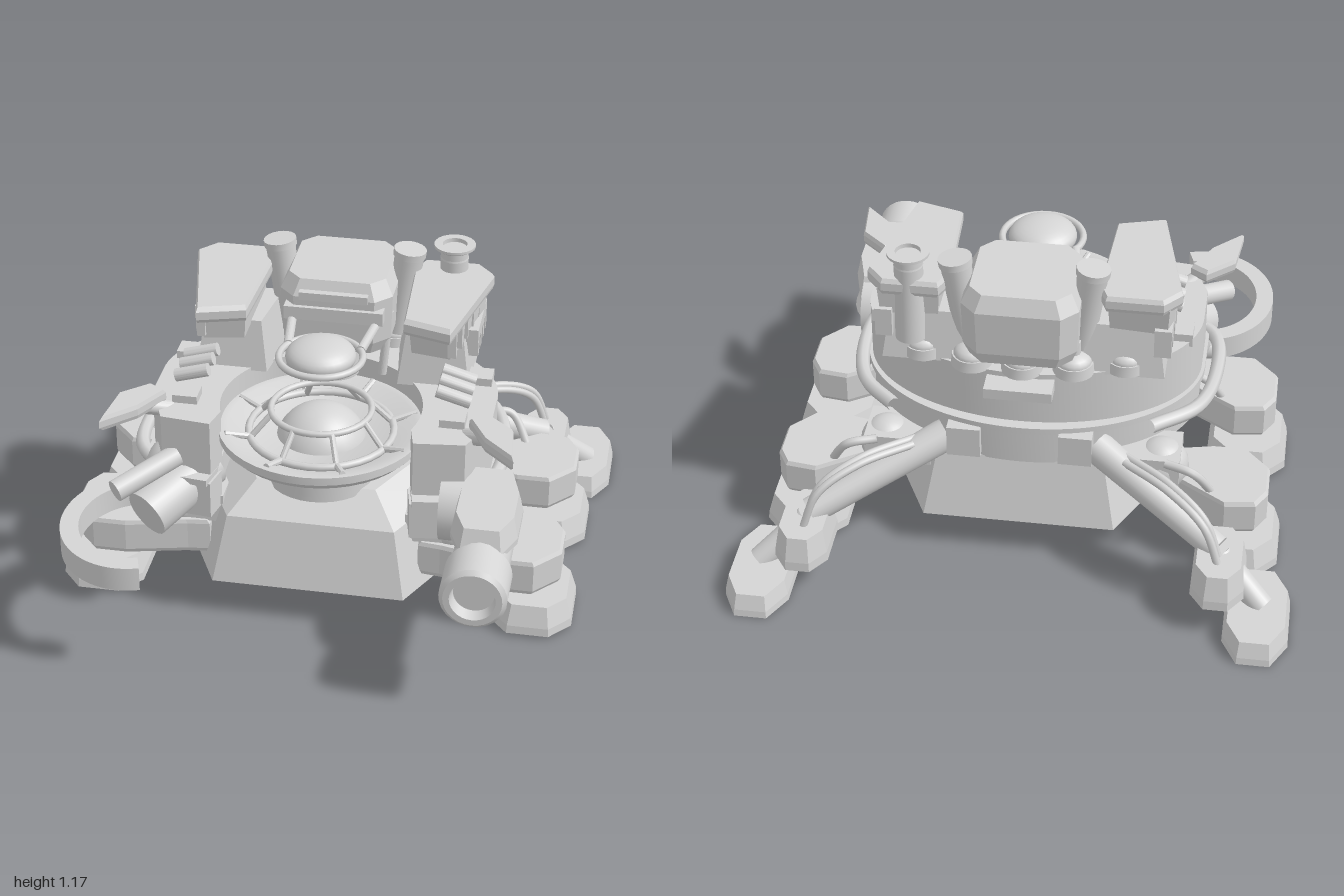
import * as THREE from 'three';
import { toCreasedNormals } from 'three/addons/utils/BufferGeometryUtils.js';

export function createModel() {
  const model = new THREE.Group();
  const grey = new THREE.MeshStandardMaterial({ color: 0xd4d4d4 });
  grey.name = 'plain grey';
  const V = (p) => new THREE.Vector3(...p);

  const add = (name, geo, x = 0, y = 0, z = 0) => {
    const mesh = new THREE.Mesh(geo, grey);
    mesh.name = name;
    mesh.position.set(x, y, z);
    model.add(mesh);
    return mesh;
  };
  const cyl = (r1, r2, h, n = 24) => toCreasedNormals(new THREE.CylinderGeometry(r1, r2, h, n), 0.6);
  const lathe = (pts, n) => toCreasedNormals(new THREE.LatheGeometry(pts.map((p) => new THREE.Vector2(...p)), n), 0.6);
  const box = (name, w, h, d, x, y, z) => add(name, new THREE.BoxGeometry(w, h, d), x, y, z);
  // Upright extrusion of a shape drawn in (x, -z)
  const upright = (shape, depth) => toCreasedNormals(
    new THREE.ExtrudeGeometry(shape, { depth, bevelEnabled: false, curveSegments: 32 }).rotateX(-Math.PI / 2), 0.5);

  // Round bar from a to b
  const rod = (name, a, b, r1, r2 = r1, n = 20) => {
    const A = V(a), B = V(b), dir = B.clone().sub(A);
    const mesh = add(name, cyl(r2, r1, dir.length(), n), ...A.add(B).multiplyScalar(0.5).toArray());
    mesh.quaternion.setFromUnitVectors(new THREE.Vector3(0, 1, 0), dir.normalize());
    return mesh;
  };
  const hose = (name, pts, r) => add(name,
    new THREE.TubeGeometry(new THREE.CatmullRomCurve3(pts.map(V)), 28, r, 8));

  // Faceted solid: an [x, z] outline repeated at levels [y, scale]
  const loft = (name, outline, levels) => {
    let area = 0;
    const n = outline.length;
    outline.forEach(([x, z], i) => {
      const [u, v] = outline[(i + 1) % n];
      area += x * v - u * z;
    });
    const pts = area > 0 ? outline : [...outline].reverse();
    const cx = pts.reduce((s, p) => s + p[0], 0) / n, cz = pts.reduce((s, p) => s + p[1], 0) / n;
    const at = (i, [y, s]) => [cx + (pts[i % n][0] - cx) * s, y, cz + (pts[i % n][1] - cz) * s];
    const pos = [], low = levels[0], top = levels[levels.length - 1];
    for (let i = 0; i < n; i++) {
      for (let k = 0; k + 1 < levels.length; k++) {
        const a = at(i, levels[k]), b = at(i + 1, levels[k]);
        const c = at(i + 1, levels[k + 1]), d = at(i, levels[k + 1]);
        pos.push(...a, ...d, ...c, ...a, ...c, ...b);
      }
      pos.push(cx, low[0], cz, ...at(i, low), ...at(i + 1, low));
      pos.push(cx, top[0], cz, ...at(i + 1, top), ...at(i, top));
    }
    const geo = new THREE.BufferGeometry();
    geo.setAttribute('position', new THREE.Float32BufferAttribute(pos, 3));
    geo.computeVertexNormals();
    return add(name, geo);
  };
  const octagon = (cx, cz, hx, hz, kx = 0.5, kz = 0.5) =>
    [[1, kz], [kx, 1], [-kx, 1], [-1, kz], [-1, -kz], [-kx, -1], [kx, -1], [1, -kz]]
      .map(([x, z]) => [cx + x * hx, cz + z * hz]);

  // Hull with a sloping deck
  loft('hull', octagon(0, 0.02, 0.51, 0.47, 0.68, 0.3), [[0.14, 1], [0.385, 0.87], [0.48, 0.62]]);

  // Horseshoe drum in three tiers, open at the front around the dish
  const shoe = new THREE.Shape();
  shoe.moveTo(0.36, -0.41);
  shoe.lineTo(0.54, -0.39);
  shoe.lineTo(0.61, -0.22);
  shoe.absellipse(0, -0.05, 0.61, 0.42, 0, Math.PI, false, 0);
  shoe.lineTo(-0.61, -0.22);
  shoe.lineTo(-0.54, -0.39);
  shoe.lineTo(-0.36, -0.41);
  shoe.absarc(0, -0.2, 0.36, Math.PI + 0.34, -0.34, true);
  for (const [name, y, h, kx, kz] of [['lowerDrum', 0.38, 0.14, 0.99, 1.08],
    ['drumRim', 0.515, 0.025, 1.02, 1.11], ['upperDrum', 0.53, 0.22, 1, 1]])
    add(name, upright(shoe, h).scale(kx, 1, kz), 0, y, 0);

  // Front dish with dome and low cage
  add('dishStem', cyl(0.2, 0.2, 0.16, 32), 0, 0.54, 0.2);
  const dish = [[0, 0.6], [0.22, 0.6], [0.34, 0.61], [0.37, 0.64], [0.37, 0.67], [0.335, 0.67], [0.27, 0.63], [0, 0.63]];
  add('dish', lathe(dish, 40), 0, 0, 0.2);
  add('dome', new THREE.SphereGeometry(0.17, 32, 12, 0, Math.PI * 2, 0, Math.PI / 2), 0, 0.57, 0.2);
  const ring = (name, r, t, y, z) => add(name, new THREE.TorusGeometry(r, t, 8, 36).rotateX(Math.PI / 2), 0, y, z);
  ring('cageRing', 0.18, 0.012, 0.73, 0.2);
  ring('cageFoot', 0.26, 0.014, 0.645, 0.2);
  for (let i = 0; i < 8; i++) {
    const a = (i + 0.5) * Math.PI / 4, c = Math.cos(a), s = Math.sin(a);
    rod('cageBar', [c * 0.26, 0.64, 0.2 + s * 0.26], [c * 0.18, 0.73, 0.2 + s * 0.18], 0.011, 0.011, 8);
    rod('dishSpoke', [c * 0.25, 0.645, 0.2 + s * 0.25], [c * 0.35, 0.67, 0.2 + s * 0.35], 0.012, 0.012, 8);
  }
  add('neck', cyl(0.085, 0.085, 0.12), 0, 0.78, -0.1);

  // Raised saucer with its bracket
  const saucer = add('saucer', new THREE.SphereGeometry(0.125, 32, 16), 0, 0.95, 0.21);
  saucer.scale.y = 0.48;
  ring('saucerRing', 0.148, 0.013, 0.945, 0.21);
  for (const s of [-1, 1]) {
    rod('saucerArm', [s * 0.13, 0.945, 0.14], [s * 0.16, 0.95, -0.1], 0.017);
    rod('saucerStrut', [s * 0.17, 0.72, -0.1], [s * 0.19, 0.97, -0.12], 0.016);
  }

  // Central head block
  loft('head', octagon(0, -0.24, 0.205, 0.2, 0.72, 0.7), [[0.82, 0.88], [0.87, 0.97], [1.04, 1], [1.1, 0.86]]);
  box('headSlot', 0.25, 0.03, 0.03, 0, 1.05, -0.04);
  box('headVisor', 0.36, 0.05, 0.05, 0, 0.98, -0.05);

  // Rear domes and back plate
  for (const x of [-0.36, -0.18, 0, 0.18, 0.36]) {
    const z = -0.33 + x * x * 0.5;
    add('rearDrum', cyl(0.07, 0.075, 0.04), x, 0.765, z);
    const cap = add('rearDome', new THREE.SphereGeometry(0.065, 18, 10), x, 0.785, z);
    cap.scale.y = 0.6;
    add('rearPin', cyl(0.025, 0.025, 0.08, 12), x, 0.83, z);
  }
  box('backPlate', 0.24, 0.04, 0.1, 0, 0.71, -0.4);
  for (const s of [-1, 1]) box('backBox', 0.12, 0.12, 0.06, s * 0.2, 0.46, -0.39);

  for (const s of [-1, 1]) {
    const flip = (pts) => pts.map(([x, z]) => [s * x, z]);

    // Shoulder tower and armoured pod
    loft('tower', flip([[0.2, -0.32], [0.5, -0.32], [0.5, 0.0], [0.24, 0.0]]), [[0.74, 1], [0.93, 0.8]]);
    loft('podBody', flip([[0.28, -0.32], [0.52, -0.34], [0.54, -0.27], [0.45, 0.15], [0.28, 0.12]]),
      [[0.92, 0.84], [1.03, 0.9]]);
    loft('podRoof', flip([[0.26, -0.27], [0.29, -0.34], [0.49, -0.34], [0.55, -0.27], [0.45, 0.19], [0.28, 0.14]]),
      [[1.02, 0.97], [1.035, 1], [1.065, 1], [1.08, 0.95]]);
    for (let i = 0; i < 5; i++) {
      const z = 0.11 - i * 0.075;
      box('podRib', 0.03, 0.1, 0.025, s * (0.45 + i * 0.011), 0.985, z);
    }
    box('podSkirt', 0.06, 0.05, 0.25, s * 0.49, 0.92, -0.2);
    for (let i = 0; i < 4; i++) box('skirtTooth', 0.06, 0.08, 0.03, s * 0.49, 0.875, -0.1 - i * 0.07);

    // Leaning chimney
    rod('chimney', [s * 0.2, 0.82, -0.26], [s * 0.24, 1.14, -0.27], 0.045, 0.055);
    rod('chimneyLip', [s * 0.238, 1.125, -0.27], [s * 0.241, 1.15, -0.27], 0.06);

    // Side barrels and rim studs
    for (const z of [0.19, 0.11, 0.04])
      rod('sideBarrel', [s * 0.41, 0.84, z], [s * 0.53, 0.805, z], 0.024);
    for (const a of [-0.55, 0.3, 0.75])
      box('rimBlock', 0.09, 0.05, 0.08, s * 0.56 * Math.cos(a), 0.755, 0.05 - 0.38 * Math.sin(a));

    // Diamond fin on a short arm
    loft('fin', flip([[0.6, 0.26], [0.7, 0.35], [0.72, 0.54], [0.61, 0.43], [0.54, 0.3]]),
      [[0.755, 0.9], [0.77, 1], [0.795, 1], [0.81, 0.9]]);
    rod('finArm', [s * 0.48, 0.7, 0.25], [s * 0.62, 0.77, 0.36], 0.03);

    // Side rail hose around the drum, bulging further on the claw side
    const k = s < 0 ? 1.04 : 1;
    hose('sideHose', [[s * 0.46, 0.55, -0.35], [s * 0.59 * k, 0.54, -0.2], [s * 0.64 * k, 0.535, 0.02],
      [s * 0.62 * k, 0.53, 0.25], [s * 0.52, 0.52, 0.38]], 0.026);

    // Front and middle legs, pads swept backwards
    for (const z of [0.27, -0.29]) {
      box('hip', 0.24, 0.11, 0.18, s * 0.45, 0.365, z);
      add('hipBall', new THREE.SphereGeometry(0.1, 20, 12), s * 0.5, 0.34, z);
      const pad = [[0.38, 0.04], [0.48, 0.01], [0.74, -0.165], [0.85, -0.15], [0.89, -0.08],
        [0.89, 0.06], [0.8, 0.16], [0.68, 0.16], [0.46, 0.11], [0.38, 0.1]];
      loft('legPad', flip(pad.map(([x, d]) => [x, z + d])), [[0.18, 0.96], [0.195, 1], [0.3, 1], [0.315, 0.96]]);
      rod('shin', [s * 0.72, 0.22, z - 0.02], [s * 0.79, 0.09, z - 0.01], 0.05);
      loft('foot', octagon(s * 0.79, z - 0.015, 0.15, 0.19, 0.5, 0.55), [[0.015, 1], [0.045, 0.98], [0.12, 0.84]]);
      hose('legHose', [[s * 0.52, 0.42, z - 0.1], [s * 0.62, 0.41, z - 0.13], [s * 0.7, 0.28, z - 0.08]], 0.016);
    }

    // Rear leg
    rod('rearThigh', [s * 0.27, 0.44, -0.35], [s * 0.73, 0.23, -0.6], 0.06, 0.05);
    loft('rearKnee', octagon(s * 0.74, -0.63, 0.095, 0.165, 0.45, 0.55), [[0.115, 1], [0.15, 0.98], [0.24, 0.83]]);
    rod('rearShin', [s * 0.74, 0.21, -0.61], [s * 0.9, 0.07, -0.7], 0.045);
    loft('rearFoot', octagon(s * 0.885, -0.72, 0.115, 0.215, 0.5, 0.5), [[0.005, 1], [0.03, 0.98], [0.085, 0.88]]);
    for (const d of [0, 0.04])
      hose('rearHose', [[s * 0.38, 0.44, -0.39 - d], [s * 0.55, 0.44, -0.53 - d],
        [s * 0.68, 0.37, -0.62 - d], [s * 0.74, 0.22, -0.65 - d]], 0.014);
  }

  // Flanged smoke stack on the left pod
  add('stack', cyl(0.05, 0.055, 0.34), 0.4, 0.99, -0.29);
  const lip = [[0.052, 1.12], [0.045, 1.15], [0.06, 1.155], [0.075, 1.165], [0.075, 1.175], [0.045, 1.175], [0.04, 1.1]];
  add('stackLip', lathe(lip, 24), 0.4, 0, -0.29);

  // Left cannon arm
  rod('cannonElbow', [0.46, 0.48, 0.35], [0.7, 0.48, 0.35], 0.13, 0.13, 28);
  rod('cannonBarrel', [0.64, 0.485, 0.33], [0.64, 0.485, 0.78], 0.1);
  const muzzle = [[0.08, 0.7], [0.105, 0.75], [0.115, 0.76], [0.115, 0.91], [0.1, 0.925], [0.078, 0.925], [0.07, 0.88], [0, 0.88]];
  add('muzzle', lathe(muzzle, 28).rotateX(Math.PI / 2), 0.64, 0.485, 0);
  loft('cannonHousing', [[0.56, 0.29], [0.71, 0.29], [0.755, 0.45], [0.755, 0.63], [0.71, 0.74], [0.57, 0.74], [0.525, 0.63], [0.525, 0.45]],
    [[0.53, 1], [0.55, 1], [0.625, 0.86]]);

  // Right claw arm
  add('clawShoulder', new THREE.SphereGeometry(0.13, 24, 14), -0.5, 0.48, 0.3);
  rod('clawArm', [-0.4, 0.51, 0.28], [-0.57, 0.42, 0.52], 0.09);
  rod('clawTube', [-0.49, 0.59, 0.38], [-0.67, 0.53, 0.56], 0.04);
  const claw = new THREE.Shape();
  claw.absellipse(-0.58, -0.62, 0.265, 0.3, 1.45, Math.PI * 1.6, false, 0);
  claw.absellipse(-0.58, -0.62, 0.2, 0.235, Math.PI * 1.6, 1.45, true, 0);
  add('clawHook', upright(claw, 0.09), 0, 0.37, 0);
  rod('clawLink', [-0.5, 0.44, 0.3], [-0.63, 0.415, 0.35], 0.05);

  return model;
}
